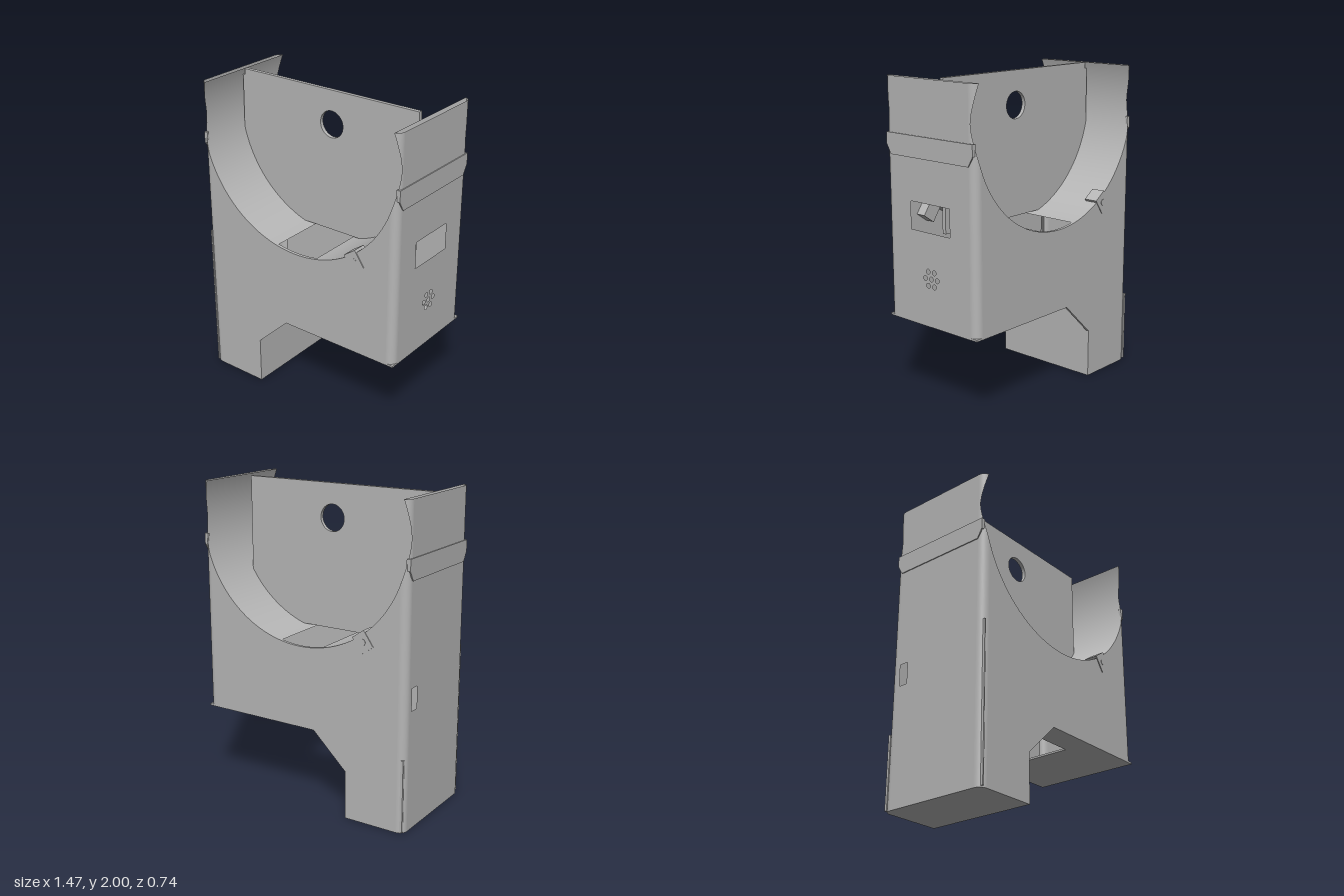
import * as THREE from 'three';

const W = 0.73, D = 0.365, C = 0.05;        // half width, half depth, corner radius
const R = 0.728, CY = 1.78, TOP = 2;        // cradle circle and top height
const FLOOR = 0.53, STEP = -0.32;           // raised floor and inner face of the foot

export function createModel() {
  const group = new THREE.Group();
  const grey = new THREE.MeshStandardMaterial({ color: 0xb6b6b6, side: THREE.DoubleSide });
  grey.name = 'grey';

  const add = (name, geo, x = 0, y = 0, z = 0) => {
    const m = new THREE.Mesh(geo, grey);
    m.name = name;
    m.position.set(x, y, z);
    group.add(m);
    return m;
  };
  const box = (name, x0, x1, y0, y1, z0, z1) =>
    add(name, new THREE.BoxGeometry(x1 - x0, y1 - y0, z1 - z0), (x0 + x1) / 2, (y0 + y1) / 2, (z0 + z1) / 2);
  const poly = pts => new THREE.Shape(pts.map(p => new THREE.Vector2(...p)));
  const rect = (a0, a1, b0, b1) => poly([[a0, b0], [a1, b0], [a1, b1], [a0, b1]]);
  const slab = (shape, depth) =>
    new THREE.ExtrudeGeometry(shape, { depth, bevelEnabled: false, curveSegments: 48 });
  // curved sheet: each grid point is placed by a rule of (u, v)
  const sheet = (fn, nu, nv) => {
    const g = new THREE.PlaneGeometry(1, 1, nu, nv);
    const p = g.attributes.position, uv = g.attributes.uv;
    for (let i = 0; i < p.count; i++) p.setXYZ(i, ...fn(uv.getX(i), uv.getY(i)));
    g.computeVertexNormals();
    return g;
  };
  const rise = x => Math.sqrt(Math.max(0, R * R - x * x));

  // front and back panels with the round cradle cut out
  const xe = W - C, a = Math.acos(xe / R);
  const panel = poly([[-xe, 0], [STEP, 0], [STEP, 0.31], [-0.09, FLOOR], [xe, FLOOR], [xe, CY - rise(xe)]]);
  panel.absarc(0, CY, R, -a, a - Math.PI, true);
  add('frontPanel', slab(panel, 0.02), 0, 0, D - 0.02);
  add('backPanel', slab(panel, 0.02), 0, 0, -D);

  // rounded upright corners, cut by the same circle
  for (const sx of [-1, 1]) for (const sz of [-1, 1]) {
    const base = sx < 0 ? 0 : FLOOR;
    const at = u => [xe + C * Math.sin(u * Math.PI / 2), D - C + C * Math.cos(u * Math.PI / 2)];
    const strip = upper => sheet((u, v) => {
      const [x, z] = at(u), h = rise(x);
      const lo = upper ? Math.min(TOP, CY + h) : base, hi = upper ? TOP : CY - h;
      return [sx * x, lo + (hi - lo) * v, sz * z];
    }, 12, 1);
    add('cornerLower', strip(false));
    add('cornerUpper', strip(true));
  }

  // cradle trough, in two halves beside the central slot
  const halfDepth = x => {
    const t = Math.max(0, Math.abs(x) - xe);
    return D - C + Math.sqrt(Math.max(0, C * C - t * t));
  };
  const start = Math.asin(0.15 / R), end = Math.PI / 2 + Math.asin((TOP - CY) / R);
  for (const s of [-1, 1]) {
    add('cradleTrough', sheet((u, v) => {
      const t = start + (end - start) * u, x = R * Math.sin(t);
      return [s * x, CY - R * Math.cos(t), halfDepth(x) * (1 - 2 * v)];
    }, 64, 1));
  }

  // side walls: shape x runs along z
  const zc = D - C;
  const right = rect(-zc, zc, FLOOR, TOP);
  right.holes.push(rect(-0.16, 0.16, 1.11, 1.28));
  const hole = (x, y, r) => new THREE.Path().absarc(x, y, r, 0, Math.PI * 2, true);
  right.holes.push(hole(0, 0.83, 0.015));
  for (let i = 0; i < 6; i++) {
    const t = i * Math.PI / 3;
    right.holes.push(hole(0.05 * Math.cos(t), 0.83 + 0.05 * Math.sin(t), 0.015));
  }
  add('windowWall', new THREE.ShapeGeometry(right, 16), W).rotation.y = Math.PI / 2;
  const left = rect(-zc, zc, 0, TOP);
  left.holes.push(rect(-0.29, -0.23, 0.76, 0.9));
  add('plainWall', new THREE.ShapeGeometry(left), -W).rotation.y = -Math.PI / 2;

  // flared ledges where the side walls narrow
  const ledge = poly([[-0.35, 1.6], [-0.315, 1.54], [0.315, 1.54], [0.35, 1.6], [0.35, 1.67], [-0.35, 1.67]]);
  for (const s of [-1, 1])
    add('sideLedge', slab(ledge, 0.008), s > 0 ? W - 0.002 : -W - 0.006).rotation.y = Math.PI / 2;
  for (const sx of [-1, 1]) for (const sz of [-1, 1])
    box('ledgeTip', sx > 0 ? 0.71 : -0.735, sx > 0 ? 0.735 : -0.71, 1.6, 1.67, sz * 0.343 - 0.007, sz * 0.343 + 0.007);

  // raised floor with its outlet
  const floor = rect(STEP, W, -D, D);
  floor.holes.push(rect(-0.14, 0.25, -0.195, 0.195));
  add('raisedFloor', slab(floor, 0.012), 0, FLOOR + 0.012).rotation.x = Math.PI / 2;

  // foot: inner wall and round-cornered bottom
  box('footWall', STEP - 0.01, STEP, 0, FLOOR, -D, D);
  const sole = poly([[-xe, -D], [STEP, -D], [STEP, D], [-xe, D]]);
  sole.absarc(-xe, D - C, C, Math.PI / 2, Math.PI, false);
  sole.absarc(-xe, -D + C, C, Math.PI, Math.PI * 1.5, false);
  add('footSole', slab(sole, 0.012), 0, 0.012).rotation.x = Math.PI / 2;

  // sloped guide under the floor beside the foot
  const guide = poly([[-0.19, FLOOR], [STEP, FLOOR], [STEP, 0.45], [-0.305, 0.45]]);
  add('slopedGuide', slab(guide, 0.47), 0, 0, -0.235);

  // upright divider with a round hole and a notch at one top corner
  const divider = poly([[-0.715, 1.085], [0.62, 1.085], [0.62, TOP], [-0.69, TOP], [-0.69, 1.96], [-0.705, 1.96]]);
  divider.holes.push(hole(0, 1.785, 0.085));
  add('divider', slab(divider, 0.025), 0, 0, -0.015);

  // clip blocks on the cradle rim, one in front and one turned to the back
  for (const s of [-1, 1]) {
    const clip = new THREE.Group();
    clip.name = 'clip';
    const block = new THREE.Mesh(new THREE.BoxGeometry(0.095, 0.115, 0.09), grey);
    block.name = 'clipBlock';
    const pin = new THREE.Mesh(new THREE.CylinderGeometry(0.02, 0.02, 0.004, 20), grey);
    pin.name = 'clipPin';
    pin.rotation.x = Math.PI / 2;
    pin.position.z = 0.045;
    clip.add(block, pin);
    const t = 0.61, r = 0.768;
    clip.position.set(s * r * Math.sin(t), CY - r * Math.cos(t), s * 0.325);
    clip.rotation.set(0, s > 0 ? 0 : Math.PI, t);
    // the turned clip keeps the same lean when seen from behind
    clip.rotation.order = 'YXZ';
    group.add(clip);
  }

  // narrow seams along the foot's outer corners
  box('frontSeam', -0.715, -0.705, 0.01, 1.0, 0.35, 0.366);
  box('backSeam', -0.722, -0.705, 0.01, 0.47, -0.366, -0.35);

  return group;
}
